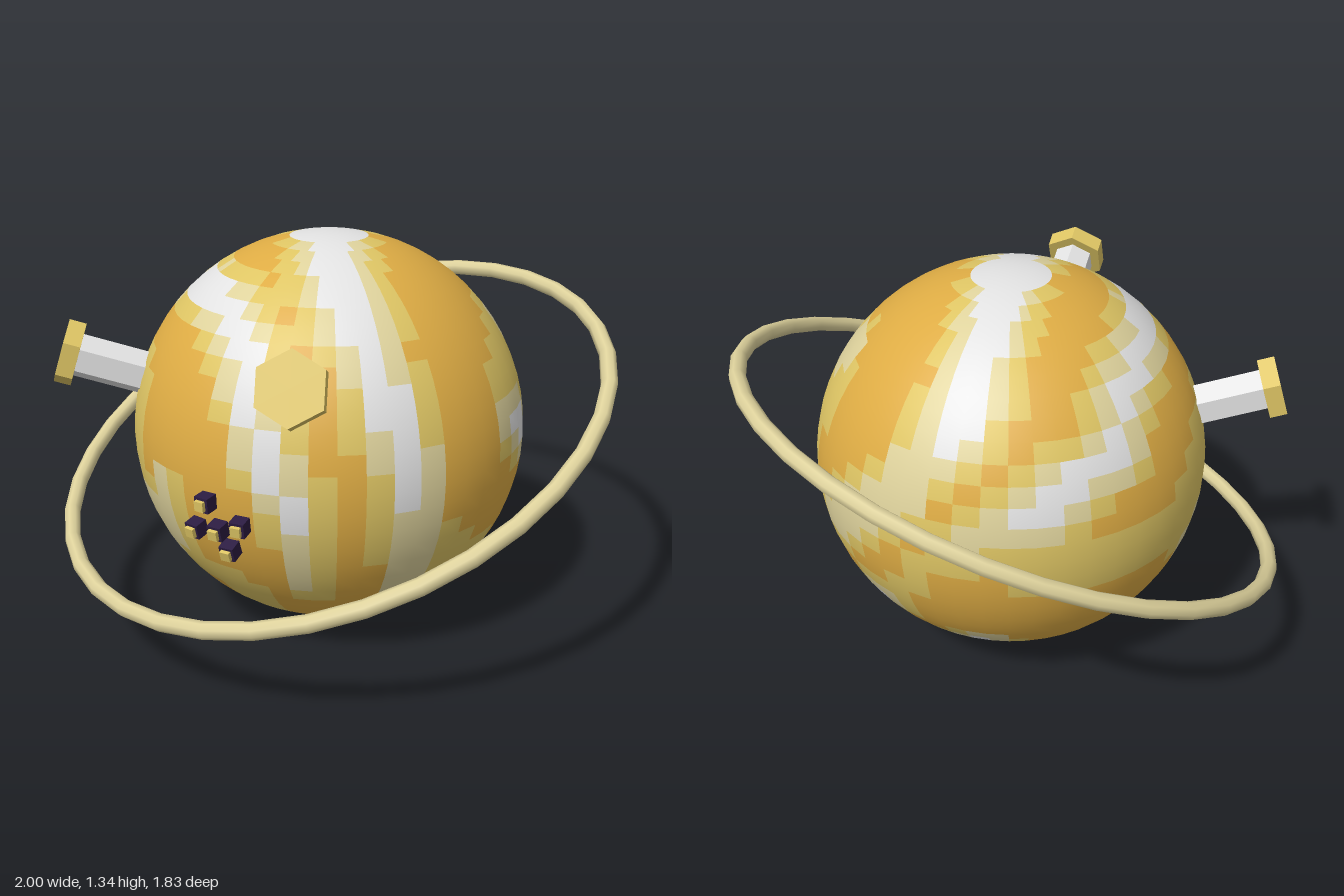
import * as THREE from 'three';

const R = 0.67;
const paint = (name, color) => {
  const m = new THREE.MeshStandardMaterial({ color });
  m.name = name;
  return m;
};

// Painted streaks: half width and fade step in degrees, then a path of [longitude, latitude]
const whiteStreaks = [
  [5.5, 4, [-147, 32], [-141, 47], [-139, 66], [-139, 82]],
  [6, 4, [45, 82], [45, 65], [53, 42]],
  [4, 4, [53, 42], [59, 28], [61, 15], [66, -2]],
  [4, 4, [-120, 14], [-108, 22], [-94, 28], [-84, 41], [-57, 49], [-28, 51], [6, 46], [16, 35]],
  [3.5, 4, [16, 35], [22, 20], [27, 7], [34, -6]],
  [4.5, 4, [108, 9], [120, 4], [135, -4], [150, -5]],
  [3, 4, [122, -42], [140, -43], [155, -41], [170, -36], [188, -29]],
  [3, 4, [179, -68], [213, -55], [223, -42]],
  [10, 1, [0, 90], [0, 89]],
];
const creamStreaks = [
  [13, 4, [-52, -18], [-25, -22]],
  [6, 4, [-25, -24], [-12, -24]],
  [4, 4, [-10, -6], [-9, -20]],
  [4, 4, [34, -6], [36, -30]],
  [7, 4, [66, -2], [70, -35]],
  [7, 4, [-150, 28], [-166, 10], [173, -5]],
  [6, 4, [-120, 14], [-140, 6]],
  [8, 4, [146, 37], [136, 33]],
  [3, 4, [100, -30], [122, -41]],
  [4, 4, [90, -68], [144, -74], [179, -68]],
];
const yellowStreaks = [
  [19, 4, [-40, 8], [-60, -4]],
  [18, 4, [116, 17], [143, 30], [142, 10]],
  [7, 4, [-8, -32], [10, -36], [14, -56]],
  [9, 4, [-75, -5], [-120, -3]],
  [5, 4, [75, -15], [90, -24], [104, -33]],
  [5, 4, [188, -29], [200, -15], [212, 0]],
];

const direction = ([lon, lat]) => new THREE.Vector3().setFromSphericalCoords(
  1, THREE.MathUtils.degToRad(90 - lat), THREE.MathUtils.degToRad(lon));

// Sample each path into directions; level 3 is white, 2 cream, 1 yellow
function sampleStreaks(list, level) {
  return list.map(([width, fade, ...path]) => {
    const points = [];
    for (let i = 0; i < path.length - 1; i++) {
      const a = direction(path[i]), b = direction(path[i + 1]);
      for (let k = 0; k <= 12; k++) points.push(a.clone().lerp(b, k / 12).normalize());
    }
    return { width, fade, level, points };
  });
}

// A streak fades outward through the tones below it
function toneAt(dir, streaks) {
  let tone = 0;
  for (const { width, fade, level, points } of streaks) {
    const nearest = Math.max(...points.map((p) => p.dot(dir)));
    const d = THREE.MathUtils.radToDeg(Math.acos(Math.min(1, nearest))) - width;
    const drop = d < 0 ? 0 : Math.ceil(d / fade);
    tone = Math.max(tone, level - drop);
  }
  return tone;
}

// Globe whose grid cells are sorted into one material group per tone
function makeGlobe(materials) {
  const W = 48, H = 32;
  const geo = new THREE.SphereGeometry(R, W, H);
  const pos = geo.attributes.position;
  const streaks = [
    ...sampleStreaks(whiteStreaks, 3),
    ...sampleStreaks(creamStreaks, 2),
    ...sampleStreaks(yellowStreaks, 1),
  ];
  const faces = materials.map(() => []);
  const corner = new THREE.Vector3();
  for (let iy = 0; iy < H; iy++) {
    for (let ix = 0; ix < W; ix++) {
      const b = iy * (W + 1) + ix, a = b + 1, c = b + W + 1, d = c + 1;
      const centre = new THREE.Vector3();
      for (const i of [a, b, c, d]) centre.add(corner.fromBufferAttribute(pos, i));
      const list = faces[toneAt(centre.normalize(), streaks)];
      if (iy > 0) list.push(a, b, d);
      if (iy < H - 1) list.push(b, c, d);
    }
  }
  geo.setIndex(faces.flat());
  geo.clearGroups();
  let start = 0;
  faces.forEach((f, i) => {
    geo.addGroup(start, f.length, i);
    start += f.length;
  });
  const globe = new THREE.Mesh(geo, materials);
  globe.name = 'globe';
  return globe;
}

export function createModel() {
  const gold = paint('gold', 0xdeac44);
  const yellow = paint('yellow', 0xdec564);
  const cream = paint('cream', 0xded29c);
  const white = paint('white', 0xe2e2e2);
  const purple = paint('dark purple', 0x2c1c42);

  const model = new THREE.Group();
  model.name = 'planet';
  const body = new THREE.Group();
  body.name = 'body';
  body.position.y = R;
  model.add(body);
  body.add(makeGlobe([gold, yellow, cream, white]));

  // Tilted ring
  const ring = new THREE.Mesh(new THREE.TorusGeometry(0.974, 0.028, 8, 36), cream);
  ring.name = 'ring';
  ring.quaternion.setFromUnitVectors(
    new THREE.Vector3(0, 0, 1), new THREE.Vector3(-0.077, 1, 0.44).normalize());
  body.add(ring);

  // Part standing on the globe, its own +z pointing outward
  const outward = (name, x, y, z) => {
    const g = new THREE.Group();
    g.name = name;
    g.lookAt(x, y, z);
    body.add(g);
    return g;
  };
  const addPart = (group, name, geometry, material, z) => {
    const mesh = new THREE.Mesh(geometry, material);
    mesh.name = name;
    mesh.position.z = z;
    group.add(mesh);
  };

  // Hexagonal bolts
  const hexagon = (radius, length) => {
    const geo = new THREE.CylinderGeometry(radius, radius, length, 6)
      .toNonIndexed().rotateX(Math.PI / 2);
    geo.computeVertexNormals();
    return geo;
  };
  for (const [name, x, y, z] of [
    ['leftBolt', 0.48, 0.39, 0.67],
    ['rightBolt', -0.57, 0.28, 0.66],
  ]) {
    const bolt = outward(name, x, y, z);
    addPart(bolt, 'shaft', hexagon(0.075, 0.28), white, 0.75);
    addPart(bolt, 'head', hexagon(0.112, 0.057), yellow, 0.914);
  }

  // Cluster of little blocks with pale caps
  for (const [x, y] of [[0.113, -0.055], [0.056, -0.16], [0.145, -0.145], [0.225, -0.115], [0.17, -0.213]]) {
    const block = outward('block', x, y, Math.sqrt(0.69 ** 2 - x * x - y * y));
    addPart(block, 'blockBase', new THREE.BoxGeometry(0.05, 0.05, 0.05), purple, 0.688);
    addPart(block, 'blockCap', new THREE.BoxGeometry(0.033, 0.033, 0.02), yellow, 0.716);
  }
  return model;
}
